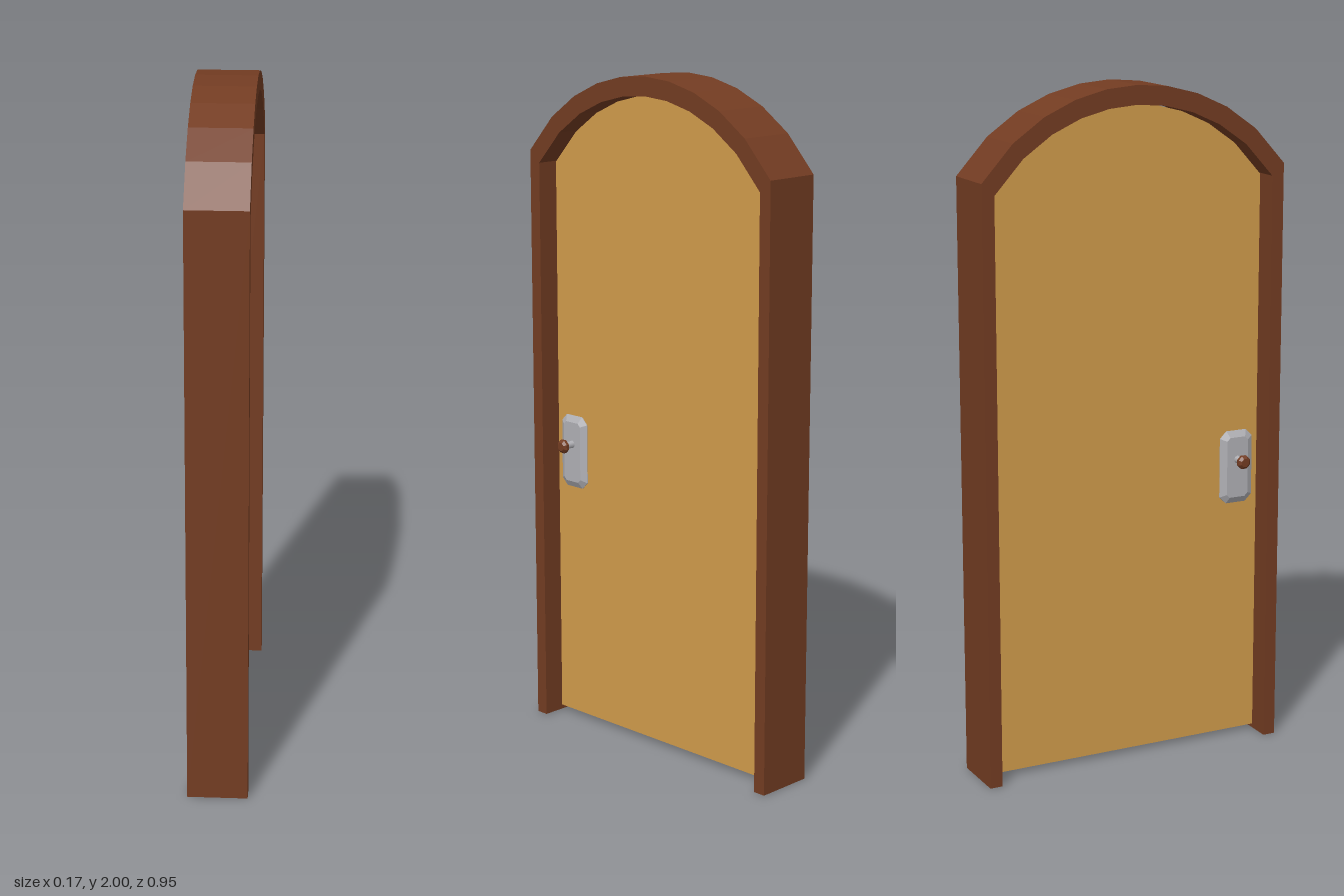
import * as THREE from 'three';

const material = (name, color) => {
  const m = new THREE.MeshStandardMaterial({ color });
  m.name = name;
  return m;
};

// Points along a shallow circular arch, evenly spaced across the width, right to left
function archPoints(half, spring, top, segments = 10) {
  const rise = top - spring;
  const r = (half * half + rise * rise) / (2 * rise);
  return Array.from({ length: segments + 1 }, (_, i) => {
    const u = half * (1 - (2 * i) / segments);
    return new THREE.Vector2(u, top - r + Math.sqrt(r * r - u * u));
  });
}

// Extrude a side-on outline so its thickness is centred along x
function slab(points, thickness) {
  const g = new THREE.ExtrudeGeometry(new THREE.Shape(points), { depth: thickness, bevelEnabled: false });
  g.translate(0, 0, -thickness / 2);
  g.rotateY(Math.PI / 2);
  return g;
}

export function createModel() {
  const root = new THREE.Group();
  root.name = 'archedDoor';
  const frameWood = material('frameWood', 0x733c22);
  const doorWood = material('doorWood', 0xd09b4b);
  const metal = material('metal', 0xb0b0b5);

  const add = (parent, name, geometry, mat) => {
    const mesh = new THREE.Mesh(geometry, mat);
    mesh.name = name;
    parent.add(mesh);
    return mesh;
  };
  const p = (u, y) => new THREE.Vector2(u, y);

  // Arched frame, open at the floor
  const outer = archPoints(0.475, 1.755, 2.0);
  const inner = archPoints(0.437, 1.72, 1.945).reverse();
  add(root, 'frame', slab([p(0.475, 0), ...outer, p(-0.475, 0), p(-0.437, 0), ...inner, p(0.437, 0)], 0.174), frameWood);

  // Door leaf with a small gap all round
  const leaf = archPoints(0.434, 1.718, 1.942);
  add(root, 'doorLeaf', slab([p(0.434, 0.015), ...leaf, p(-0.434, 0.015)], 0.046), doorWood);

  // Hinge knuckles
  for (const y of [0.31, 1.345]) {
    const hinge = add(root, 'hinge', new THREE.CylinderGeometry(0.006, 0.006, 0.06, 8), frameWood);
    hinge.position.set(0.025, y, -0.437);
  }

  // Bevelled plate with clipped corners, facing +z before placement
  const w = 0.035, h = 0.092, c = 0.01;
  const plateShape = new THREE.Shape([
    p(w, c - h), p(w, h - c), p(w - c, h), p(c - w, h),
    p(-w, h - c), p(-w, c - h), p(c - w, -h), p(w - c, -h),
  ]);
  const plateGeometry = new THREE.ExtrudeGeometry(plateShape, {
    depth: 0.002, bevelThickness: 0.011, bevelSize: 0.019, bevelSegments: 1,
  });

  // Handle set on each face of the door
  for (const side of [1, -1]) {
    const handle = new THREE.Group();
    handle.name = side > 0 ? 'leftHandle' : 'rightHandle';
    handle.position.set(side * 0.023, 0.847, 0.363);
    handle.rotation.y = (side * Math.PI) / 2;
    add(handle, 'plate', plateGeometry, metal);

    const stem = add(handle, 'stem', new THREE.CylinderGeometry(0.009, 0.012, 0.03, 8), metal);
    stem.rotation.x = Math.PI / 2;
    stem.position.set(0, 0.024, 0.026);

    const profile = [[0, 0], [0.013, 0], [0.021, 0.007], [0.021, 0.016], [0.013, 0.023], [0, 0.023]];
    const knobGeometry = new THREE.LatheGeometry(profile.map(([r, y]) => p(r, y)), 8).toNonIndexed();
    knobGeometry.computeVertexNormals();
    const knob = add(handle, 'knob', knobGeometry, frameWood);
    knob.rotation.set(Math.PI / 2, Math.PI / 8, 0);
    knob.position.set(0, 0.024, 0.037);
    root.add(handle);
  }
  return root;
}
